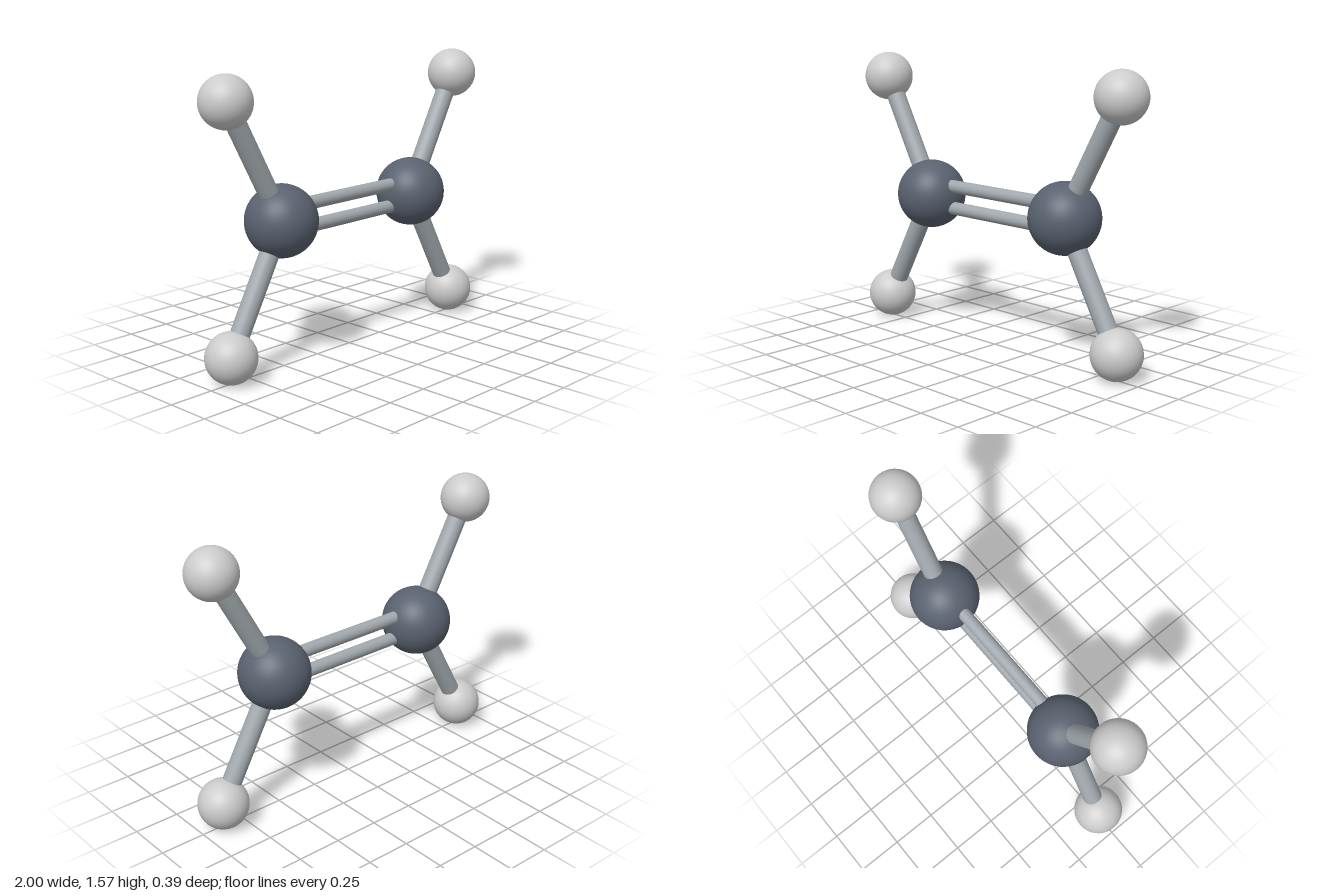
import * as THREE from 'three';

export function createModel() {
  const model = new THREE.Group();
  model.name = 'ballAndStickMolecule';

  const darkMat = new THREE.MeshStandardMaterial({ color: 0x5a6270 });
  const paleMat = new THREE.MeshStandardMaterial({ color: 0xcccccc });
  const rodMat = new THREE.MeshStandardMaterial({ color: 0xa2a9ae });

  const midY = 0.787;
  const largeGeo = new THREE.SphereGeometry(0.193, 48, 32);
  const smallGeo = new THREE.SphereGeometry(0.137, 40, 28);

  function addBall(name, geometry, material, position) {
    const ball = new THREE.Mesh(geometry, material);
    ball.name = name;
    ball.position.copy(position);
    model.add(ball);
  }

  // Straight rod joining two points
  function addRod(name, from, to, radius) {
    const dir = to.clone().sub(from);
    const rod = new THREE.Mesh(new THREE.CylinderGeometry(radius, radius, dir.length(), 20), rodMat);
    rod.name = name;
    rod.position.copy(from).add(to).multiplyScalar(0.5);
    rod.quaternion.setFromUnitVectors(new THREE.Vector3(0, 1, 0), dir.normalize());
    model.add(rod);
  }

  for (const sx of [1, -1]) {
    const side = sx > 0 ? 'left' : 'right';

    // Large central atom
    const centre = new THREE.Vector3(sx * 0.505, midY, 0);
    addBall(side + 'LargeAtom', largeGeo, darkMat, centre);

    // Two small outer atoms with their single bonds
    for (const sy of [1, -1]) {
      const level = sy > 0 ? 'Upper' : 'Lower';
      const outer = new THREE.Vector3(sx * 0.863, midY + sy * 0.65, 0);
      addBall(side + level + 'SmallAtom', smallGeo, paleMat, outer);
      addRod(side + level + 'SingleBond', centre, outer, 0.053);
    }
  }

  // Double bond: a pair of thinner parallel rods
  for (const sy of [1, -1]) {
    const y = midY + sy * 0.062;
    addRod((sy > 0 ? 'upper' : 'lower') + 'DoubleBondRod',
      new THREE.Vector3(-0.505, y, 0), new THREE.Vector3(0.505, y, 0), 0.036);
  }

  return model;
}
